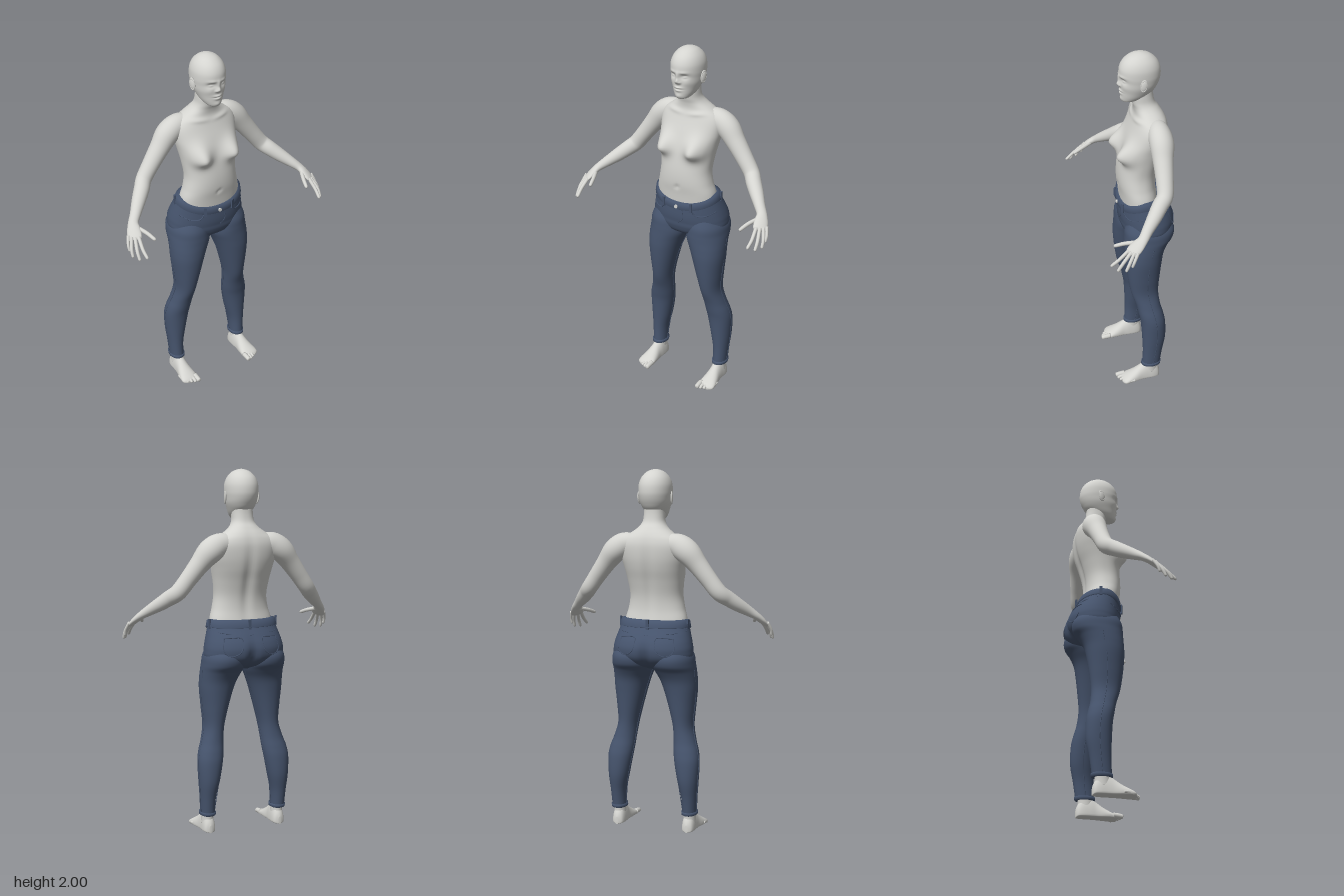
import * as THREE from 'three';

const skin = new THREE.MeshStandardMaterial({ color: 0xd4d4d0 });
const denim = new THREE.MeshStandardMaterial({ color: 0x46546d });
skin.name = 'skin';
denim.name = 'denim';

const V = (x, y, z) => new THREE.Vector3(x, y, z);
const bell = (d, s) => Math.exp(-(d * d) / (s * s));

// Catmull-Rom resampling of rows of numbers
function smooth(rows, n) {
  const out = [], last = rows.length - 1;
  for (let k = 0; k <= n; k++) {
    const t = (k / n) * last, i = Math.min(Math.floor(t), last - 1), f = t - i;
    const p = [-1, 0, 1, 2].map((o) => rows[Math.max(0, Math.min(last, i + o))]);
    out.push(p[1].map((b, c) => {
      const a = p[0][c], d = p[2][c], e = p[3][c];
      return b + 0.5 * f * (d - a + f * (2 * a - 5 * b + 4 * d - e + f * (3 * (b - d) + e - a)));
    }));
  }
  return out;
}

// Skin over a list of equal rings, with optional end caps
function loft(rings, caps = true) {
  const n = rings[0].length, pos = [], idx = [];
  rings.forEach((r) => r.forEach((p) => pos.push(p.x, p.y, p.z)));
  for (let i = 0; i < rings.length - 1; i++) for (let j = 0; j < n; j++) {
    const a = i * n + j, b = i * n + (j + 1) % n;
    idx.push(a, b, b + n, a, b + n, a + n);
  }
  if (caps) [0, rings.length - 1].forEach((i) => {
    const c = pos.length / 3, m = V(0, 0, 0);
    rings[i].forEach((p) => m.addScaledVector(p, 1 / n));
    pos.push(m.x, m.y, m.z);
    for (let j = 0; j < n; j++) {
      const a = i * n + j, b = i * n + (j + 1) % n;
      if (i) idx.push(c, a, b); else idx.push(c, b, a);
    }
  });
  const g = new THREE.BufferGeometry();
  g.setAttribute('position', new THREE.Float32BufferAttribute(pos, 3));
  g.setIndex(idx);
  g.computeVertexNormals();
  return g;
}

const ringOf = (n, fn) => Array.from({ length: n }, (_, j) => fn((j / n) * Math.PI * 2));

// Upright body surface from rows [y, centre x, half width, front z, back z]; angle 0 faces the front
function surface(rows, steps, power, deform) {
  const table = smooth(rows, steps);
  const at = (a, y, off = 0) => {
    let i = 0;
    while (i < table.length - 2 && table[i + 1][0] < y) i++;
    const p = table[i], q = table[i + 1];
    const f = THREE.MathUtils.clamp((y - p[0]) / (q[0] - p[0]), 0, 1);
    const [, cx, hw, zf, zb] = p.map((v, c) => v + (q[c] - v) * f);
    const s = Math.sin(a), c = Math.cos(a);
    const v = V(cx + Math.sign(s) * Math.abs(s) ** power * (hw + off), y,
      (zf + zb) / 2 + Math.sign(c) * Math.abs(c) ** power * ((zf - zb) / 2 + off));
    if (deform) deform(v, a);
    return v;
  };
  at.solid = (n) => loft(table.map((r) => ringOf(n, (a) => at(a, r[0]))));
  at.band = (y0, y1, off) => loft([[y0, -0.002], [y0 + 0.004, off], [y1 - 0.004, off], [y1, -0.012]]
    .map(([y, o]) => ringOf(72, (a) => at(a, y, o))), false);
  at.seam = (pts, r = 0.003) => new THREE.TubeGeometry(
    new THREE.CatmullRomCurve3(pts.map(([a, y]) => at(a, y, 0.001))), 40, r, 6);
  return at;
}

// Limb along rows [x, y, z, radius along side, other radius]
function limb(rows, side, n, steps) {
  const t = smooth(rows, steps), p = t.map((r) => V(r[0], r[1], r[2]));
  return loft(t.map((r, i) => {
    const d = p[Math.min(i + 1, steps)].clone().sub(p[Math.max(i - 1, 0)]).normalize();
    const u = side.clone().addScaledVector(d, -side.dot(d)).normalize(), v = d.clone().cross(u);
    return ringOf(n, (a) => p[i].clone().addScaledVector(u, Math.cos(a) * r[3]).addScaledVector(v, Math.sin(a) * r[4]));
  }));
}

// Rounded digit from base to tip, bent through a middle point
const digit = (a, m, b, r, side) => limb([[...a, r, r], [...m, r * 0.95, r * 0.95],
  ...[[0.75, 0.85], [0.93, 0.62], [1, 0.12]].map(([k, s]) => [...m.map((v, i) => v + (b[i] - v) * k), r * s, r * s])], side, 12, 20);

function mirrored(g) {
  const m = g.clone().scale(-1, 1, 1), ix = m.index.array;
  for (let i = 0; i < ix.length; i += 3) [ix[i], ix[i + 1]] = [ix[i + 1], ix[i]];
  m.computeVertexNormals();
  return m;
}

export function createModel() {
  const model = new THREE.Group();
  const add = (name, g, mat) => {
    const mesh = new THREE.Mesh(g, mat);
    mesh.name = name;
    model.add(mesh);
    return mesh;
  };
  const pair = (name, g, mat) => {
    add('left' + name, g, mat);
    add('right' + name, mirrored(g), mat);
  };

  // Torso and neck
  const torso = surface([
    [1.08, 0, 0.18, 0.04, -0.165], [1.18, 0, 0.178, 0.05, -0.148], [1.25, 0, 0.16, 0.06, -0.14],
    [1.32, 0, 0.15, 0.06, -0.145], [1.4, 0, 0.158, 0.05, -0.165], [1.47, 0, 0.17, 0.035, -0.187],
    [1.53, 0, 0.182, 0.015, -0.199], [1.59, 0, 0.185, -0.008, -0.202], [1.63, 0, 0.165, -0.022, -0.195],
    [1.66, 0, 0.122, -0.03, -0.182], [1.69, 0, 0.082, -0.028, -0.162], [1.72, 0, 0.062, -0.02, -0.142],
    [1.76, 0, 0.057, -0.015, -0.133], [1.81, 0, 0.055, -0.02, -0.13],
  ], 80, 0.9, (v, a) => {
    const front = Math.max(0, Math.cos(a)), back = Math.max(0, -Math.cos(a)), x = Math.abs(v.x);
    const chest = bell(x - 0.1, 0.052) * bell(v.y - 1.445, v.y > 1.445 ? 0.065 : 0.042) * Math.min(1, front * 2);
    v.z += 0.06 * chest - 0.008 * front * bell(v.x, 0.012) * bell(v.y - 1.23, 0.012);
    v.z += 0.013 * back * bell(v.x, 0.028) * bell(v.y - 1.4, 0.2);
    v.z += 0.006 * front * bell(v.y - 1.63 - 0.12 * x, 0.012) * bell(x - 0.08, 0.06);
  });
  add('torso', torso.solid(88), skin);

  // Head: bumps are [x, y, width, height, depth], mirrored across the face
  const face = [
    [0, 1.833, 0.012, 0.014, 0.016], [0, 1.86, 0.01, 0.022, 0.009], [0.013, 1.827, 0.007, 0.007, 0.006],
    [0.035, 1.86, 0.02, 0.013, -0.011], [0.037, 1.857, 0.012, 0.006, 0.006], [0.032, 1.882, 0.024, 0.008, 0.004],
    [0, 1.797, 0.021, 0.006, 0.007], [0, 1.781, 0.018, 0.007, 0.006], [0, 1.789, 0.022, 0.003, -0.004],
    [0, 1.749, 0.02, 0.013, 0.005], [0.05, 1.825, 0.022, 0.02, 0.004],
  ];
  const head = surface([
    [1.73, 0, 0.018, 0.026, -0.015], [1.738, 0, 0.038, 0.036, -0.05], [1.76, 0, 0.056, 0.041, -0.1],
    [1.79, 0, 0.07, 0.043, -0.135], [1.82, 0, 0.081, 0.044, -0.154], [1.85, 0, 0.086, 0.046, -0.166],
    [1.88, 0, 0.089, 0.05, -0.171], [1.92, 0, 0.087, 0.047, -0.167], [1.955, 0, 0.074, 0.03, -0.15],
    [1.982, 0, 0.051, 0, -0.12], [1.995, 0, 0.026, -0.03, -0.09], [2, 0, 0.003, -0.057, -0.063],
  ], 110, 0.96, (v, a) => {
    if (Math.cos(a) <= 0) return;
    const x = v.x, y = v.y;
    for (const [bx, by, sx, sy, d] of face) {
      const w = bell(x - bx, sx) + (bx ? bell(x + bx, sx) : 0);
      v.z += d * w * bell(y - by, sy) * Math.min(1, Math.cos(a) * 2);
    }
  });
  add('head', head.solid(128), skin);

  // Ears
  const ear = new THREE.SphereGeometry(1, 20, 14).scale(0.007, 0.03, 0.017);
  const rim = new THREE.TorusGeometry(1, 0.2, 8, 28).scale(0.016, 0.03, 0.02).rotateY(Math.PI / 2);
  for (const [name, g] of [['Ear', ear], ['EarRim', rim]]) {
    pair(name, g.rotateX(-0.15).rotateY(-0.3).translate(0.093, 1.847, -0.06), skin);
  }

  // Arms running into the palms
  const across = V(-0.74, 0.1, 0.66).normalize();
  pair('Arm', limb([
    [0.07, 1.605, -0.12, 0.045, 0.045], [0.15, 1.598, -0.125, 0.06, 0.064], [0.21, 1.562, -0.126, 0.064, 0.067],
    [0.265, 1.497, -0.118, 0.054, 0.054], [0.325, 1.42, -0.11, 0.047, 0.047], [0.378, 1.352, -0.098, 0.043, 0.045],
    [0.415, 1.318, -0.06, 0.042, 0.042], [0.457, 1.282, -0.02, 0.038, 0.037], [0.505, 1.243, 0.028, 0.03, 0.028],
    [0.538, 1.215, 0.06, 0.028, 0.021], [0.553, 1.193, 0.09, 0.036, 0.018], [0.566, 1.168, 0.122, 0.038, 0.013],
    [0.571, 1.157, 0.134, 0.03, 0.007],
  ], across, 32, 72), skin);
  const fingers = [
    [[0.592, 1.175, 0.1], [0.606, 1.135, 0.122], [0.606, 1.1, 0.135], 0.0085],
    [[0.581, 1.172, 0.116], [0.601, 1.122, 0.147], [0.605, 1.078, 0.168], 0.0095],
    [[0.567, 1.17, 0.128], [0.584, 1.12, 0.176], [0.586, 1.074, 0.207], 0.01],
    [[0.551, 1.172, 0.138], [0.559, 1.128, 0.19], [0.556, 1.09, 0.236], 0.01],
    [[0.535, 1.2, 0.085], [0.507, 1.185, 0.145], [0.487, 1.165, 0.203], 0.0115],
  ];
  fingers.forEach(([a, m, b, r], i) => pair(i < 4 ? 'Finger' + (i + 1) : 'Thumb', digit(a, m, b, r, across), skin));

  // Feet: rows [z, centre x, half width, height], flat underneath
  const foot = smooth([
    [-0.133, 0.21, 0.008, 0.045], [-0.122, 0.21, 0.028, 0.075], [-0.095, 0.21, 0.036, 0.115],
    [-0.055, 0.21, 0.037, 0.118], [-0.02, 0.212, 0.038, 0.095], [0.02, 0.214, 0.045, 0.067],
    [0.06, 0.216, 0.05, 0.044], [0.082, 0.216, 0.046, 0.031], [0.095, 0.21, 0.03, 0.02],
  ], 40);
  pair('Foot', loft(foot.map(([z, x, w, h]) => ringOf(32, (a) => {
    const s = Math.sin(a), low = Math.min(0.022, h * 0.45);
    return V(x + Math.cos(a) * w, s > 0 ? low + s * (h - low) : 0.003 + (low - 0.003) * (1 - Math.sqrt(-s)), z);
  }))), skin);
  pair('Ankle', surface([[0.05, 0.211, 0.034, -0.035, -0.122], [0.09, 0.211, 0.033, -0.038, -0.12],
    [0.15, 0.212, 0.033, -0.045, -0.125]], 8, 1).solid(32), skin);
  for (let i = 0; i < 5; i++) {
    const x = 0.18 + i * 0.0195 - (i ? 0 : 0.002), z = 0.123 - 0.004 * i - 0.0018 * i * i, r = i ? 0.0105 - i * 0.0006 : 0.015;
    pair('Toe' + (i + 1), digit([x, 0.022, z - 0.055], [x, 0.02, z - 0.025], [x, r + 0.001, z], r, V(1, 0, 0)), skin);
  }

  // Trouser hips, with the waistline dipping at the front
  const hips = surface([
    [0.915, 0, 0.07, -0.02, -0.13], [0.945, 0, 0.17, 0.03, -0.195], [0.985, 0, 0.222, 0.049, -0.233],
    [1.03, 0, 0.226, 0.053, -0.243], [1.07, 0, 0.219, 0.056, -0.234], [1.11, 0, 0.208, 0.057, -0.212],
    [1.15, 0, 0.196, 0.056, -0.186], [1.19, 0, 0.186, 0.054, -0.167],
  ], 48, 0.92, (v, a) => {
    const c = Math.cos(a), k = THREE.MathUtils.smoothstep(v.y, 0.97, 1.15);
    if (c < 0) v.z += -c * 0.025 * bell(v.x, 0.025) * bell(v.y - 0.97, 0.09);
    v.y -= 0.055 * Math.max(0, c) ** 1.5 * k;
  });
  add('trouserHips', hips.solid(88), denim);
  add('belt', hips.band(1.15, 1.193, 0.008), denim);

  // Belt loops and button
  for (const a of [0.42, -0.42, 1.75, -1.75, Math.PI]) {
    const loop = add('beltLoop', new THREE.BoxGeometry(0.016, 0.054, 0.01), denim);
    loop.position.copy(hips(a, 1.17, 0.009));
    loop.rotation.y = a;
  }
  const button = add('button', new THREE.CylinderGeometry(0.01, 0.01, 0.01, 20).rotateX(Math.PI / 2), skin);
  button.position.copy(hips(0, 1.17, 0.01));

  // Pocket, yoke and fly seams
  pair('FrontPocket', hips.seam([[0.45, 1.15], [0.52, 1.118], [0.8, 1.1], [1.25, 1.105]]), denim);
  pair('BackPocket', hips.seam([[2.38, 1.1], [2.4, 1.03], [2.62, 1.005], [2.86, 1.03], [2.88, 1.1], [2.62, 1.103], [2.4, 1.1]]), denim);
  pair('Yoke', hips.seam([[1.8, 1.135], [2.4, 1.125], [Math.PI, 1.115]], 0.002), denim);
  add('fly', hips.seam([[0.15, 1.15], [0.15, 1.08], [0.02, 1.03]], 0.002), denim);

  // Trouser legs: rows [y, inner x, outer x, front z, back z]
  const leg = surface([
    [0.1, 0.173, 0.25, -0.03, -0.133], [0.2, 0.17, 0.256, -0.034, -0.147], [0.3, 0.149, 0.265, -0.031, -0.165],
    [0.4, 0.13, 0.269, -0.024, -0.164], [0.46, 0.121, 0.26, -0.013, -0.153], [0.52, 0.116, 0.24, 0, -0.138],
    [0.6, 0.107, 0.221, 0.025, -0.131], [0.7, 0.083, 0.228, 0.042, -0.14], [0.8, 0.054, 0.238, 0.052, -0.153],
    [0.86, 0.032, 0.239, 0.053, -0.166], [0.91, 0.009, 0.237, 0.052, -0.192], [0.95, 0.003, 0.234, 0.051, -0.222],
    [1, 0.01, 0.226, 0.046, -0.225], [1.06, 0.035, 0.19, 0.02, -0.185],
  ].map(([y, i, o, f, b]) => [y, (i + o) / 2, (o - i) / 2, f, b]), 72, 0.94);
  pair('TrouserLeg', leg.solid(56), denim);
  pair('Hem', leg.band(0.098, 0.122, 0.005), denim);
  const heights = [0.11, 0.3, 0.42, 0.52, 0.6, 0.75, 0.92];
  pair('OuterSeam', leg.seam(heights.map((y) => [1.65, y]), 0.002), denim);
  pair('InnerSeam', leg.seam(heights.map((y) => [-1.65, y]), 0.002), denim);

  return model;
}
